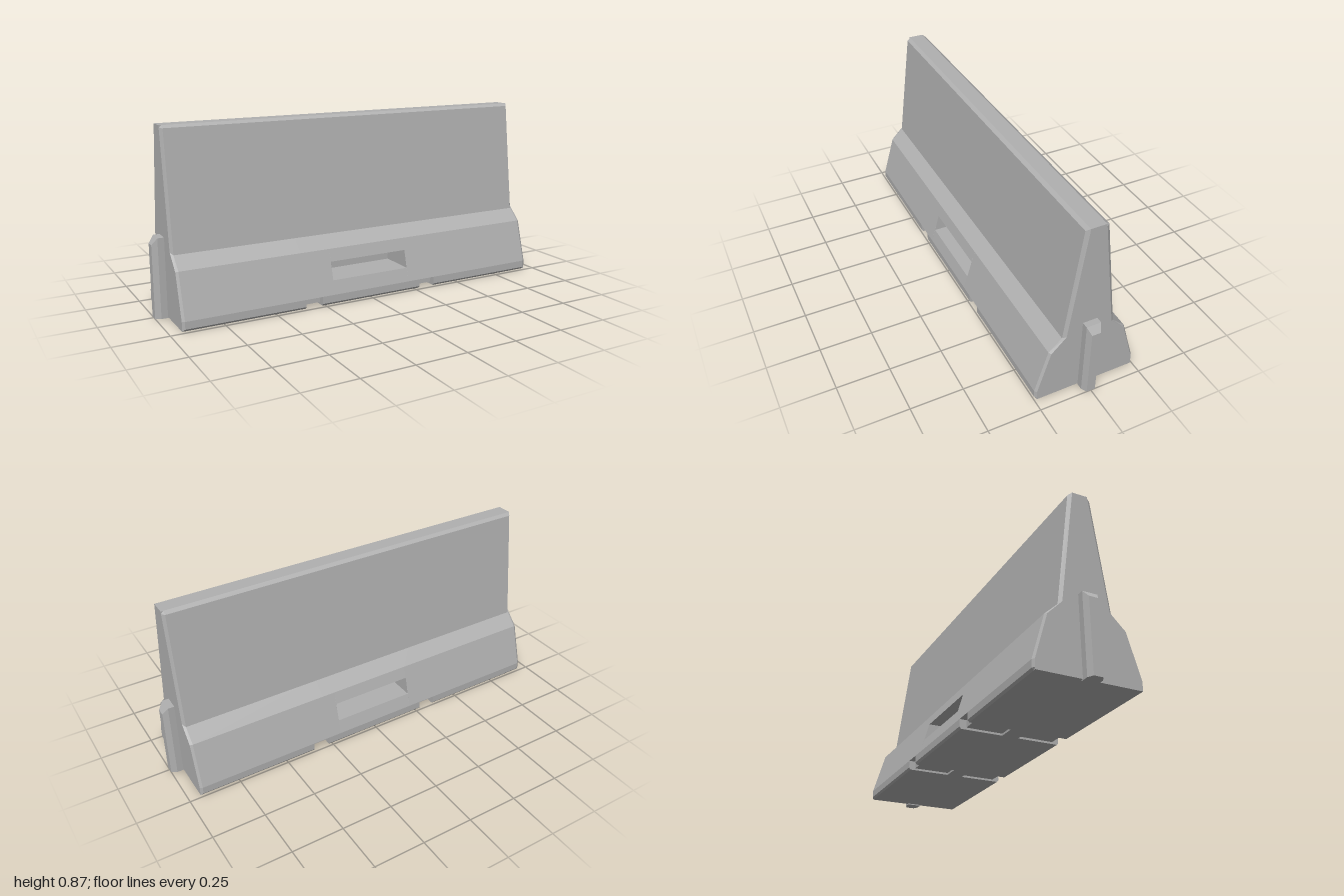
import * as THREE from 'three';
import { ConvexGeometry } from 'three/addons/geometries/ConvexGeometry.js';

const BODY_X = 0.945, BEVEL_X = 0.933, BASE = 0.005;
const NOTCH = [0.27, 0.355];   // x range of each drainage notch
const POCKET_X = 0.205;        // half width of the lifting pocket

// Half sections as [z, y], from the underside up to the crest
const foot = [[0.24, BASE], [0.248, 0.015], [0.248, 0.05]];
const upper = [[0.187, 0.258], [0.125, 0.315], [0.054, 0.86], [0.037, 0.872]];
const plain = [...foot, ...upper];
const endHalf = [[0.24, BASE], [0.24, 0.015], [0.24, 0.05], [0.18, 0.255], [0.11, 0.325], [0.038, 0.86], [0.037, 0.872]];
const notchCut = [[0.04, BASE], [0.04, 0.015], [0.215, 0.015], [0.215, 0.05]];
const pocketCut = [[0.228, 0.115], [0.05, 0.115], [0.05, 0.2], [0.2046, 0.2]];
const notched = [...notchCut, [0.248, 0.05], ...upper];
const pocketed = [...foot, ...pocketCut, ...upper];

const mirrored = (half) => [...half, ...half.map(([z, y]) => [-z, y]).reverse()];

// Skin between two matching closed sections at x0 and x1
function skin(halfA, x0, halfB, x1) {
  const a = mirrored(halfA), b = mirrored(halfB), pos = [];
  for (let i = 0; i < a.length; i++) {
    const j = (i + 1) % a.length;
    const p = [x0, a[i][1], a[i][0]], q = [x1, b[i][1], b[i][0]];
    const r = [x1, b[j][1], b[j][0]], s = [x0, a[j][1], a[j][0]];
    pos.push(...p, ...q, ...r, ...p, ...r, ...s);
  }
  const g = new THREE.BufferGeometry();
  g.setAttribute('position', new THREE.Float32BufferAttribute(pos, 3));
  g.computeVertexNormals();
  return g;
}

// Flat wall across the body, drawn from [z, y] points
function wall(points, x) {
  const shape = new THREE.Shape(points.map(([z, y]) => new THREE.Vector2(z, y)));
  return new THREE.ShapeGeometry(shape).rotateY(-Math.PI / 2).translate(x, 0, 0);
}

export function createModel() {
  const model = new THREE.Group();
  const concrete = new THREE.MeshStandardMaterial({ color: 0xb0b0b0, side: THREE.DoubleSide });
  concrete.name = 'concrete';
  const add = (name, geometry) => {
    const mesh = new THREE.Mesh(geometry, concrete);
    mesh.name = name;
    model.add(mesh);
    return mesh;
  };

  // Body, one run per section along its length
  const [n0, n1] = NOTCH;
  const runs = [
    ['bevelRight', endHalf, -BODY_X, plain, -BEVEL_X],
    ['bodyRight', plain, -BEVEL_X, plain, -n1],
    ['notchRight', notched, -n1, notched, -n0],
    ['bodyInnerRight', plain, -n0, plain, -POCKET_X],
    ['bodyPocket', pocketed, -POCKET_X, pocketed, POCKET_X],
    ['bodyInnerLeft', plain, POCKET_X, plain, n0],
    ['notchLeft', notched, n0, notched, n1],
    ['bodyLeft', plain, n1, plain, BEVEL_X],
    ['bevelLeft', plain, BEVEL_X, endHalf, BODY_X],
  ];
  for (const [name, a, x0, b, x1] of runs) add(name, skin(a, x0, b, x1));

  // End faces
  for (const s of [-1, 1]) add('endFace', wall(mirrored(endHalf), s * BODY_X));

  // Side walls of the notches and pockets
  const notchWall = [...notchCut, [0.248, 0.05], [0.248, 0.015], [0.24, BASE]];
  for (const sz of [-1, 1]) {
    for (const sx of [-1, 1]) {
      for (const x of NOTCH) add('notchWall', wall(notchWall, sx * x)).scale.z = sz;
      add('pocketWall', wall(pocketCut, sx * POCKET_X)).scale.z = sz;
    }
  }

  // Chamfered connecting tongues at both ends
  for (const s of [-1, 1]) {
    const points = [];
    for (const z of [-1, 1]) {
      for (const [x, y, w] of [[0.935, 0, 0.035], [0.975, 0, 0.035], [1, 0, 0.021],
        [0.935, 0.375, 0.035], [0.975, 0.375, 0.035], [1, 0.343, 0.021]]) {
        points.push(new THREE.Vector3(s * x, y, z * w));
      }
    }
    add('connectingTongue', new ConvexGeometry(points));
  }
  return model;
}
